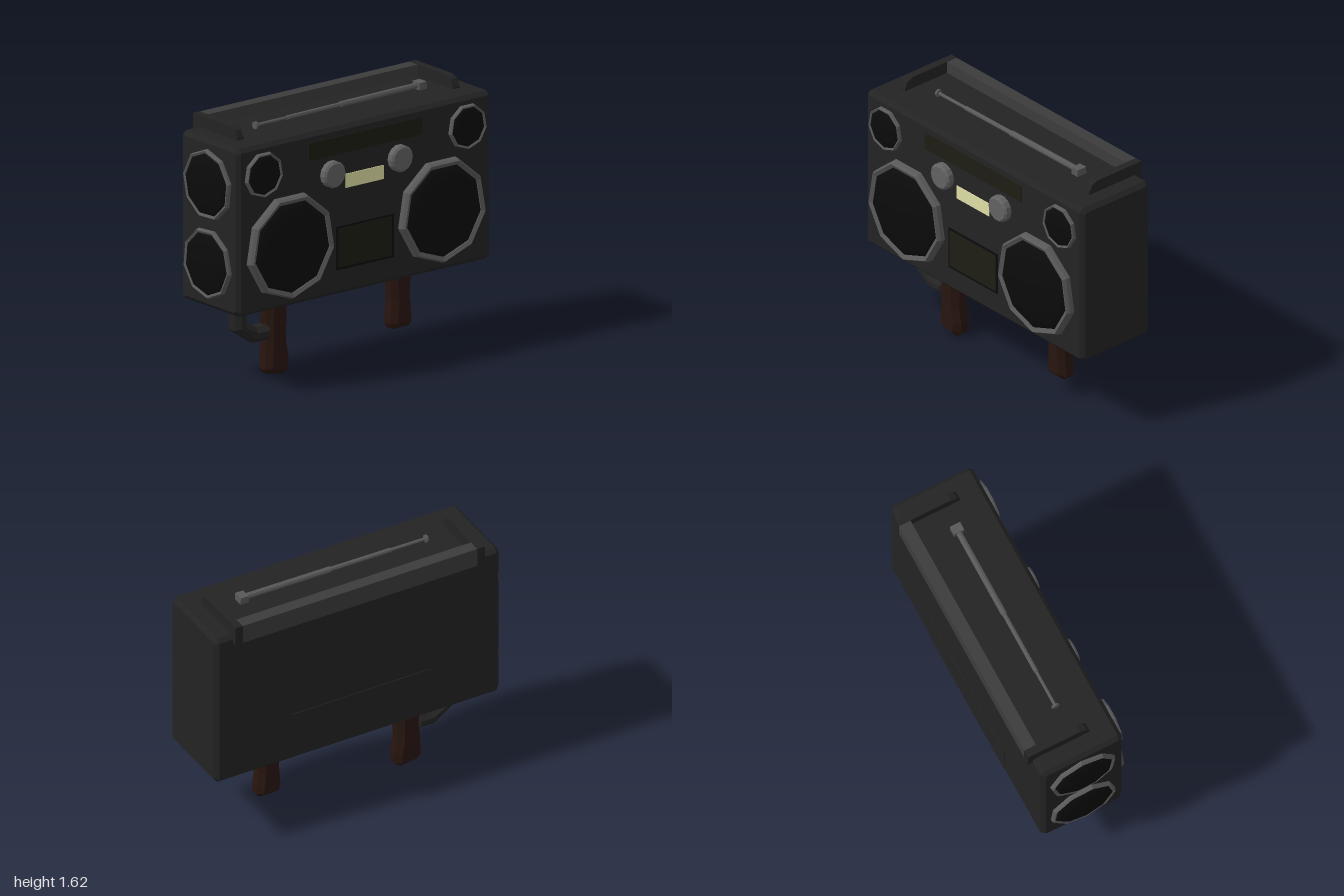
import * as THREE from 'three';

const mat = (color) => new THREE.MeshStandardMaterial({ color, flatShading: true });
const M = {
  body: mat(0x232323), black: mat(0x0b0b0b), rim: mat(0x585858), knob: mat(0x626262),
  bar: mat(0x3c3c3c), trim: mat(0x1d1d14), label: mat(0xdedea6), wood: mat(0x28150f),
};
const dome = new THREE.MeshStandardMaterial({ color: 0x0b0b0b });

const add = (parent, name, geo, material, x = 0, y = 0, z = 0) => {
  const mesh = new THREE.Mesh(geo, material);
  mesh.name = name;
  mesh.position.set(x, y, z);
  parent.add(mesh);
  return mesh;
};

// Extrudes an outline to a total thickness, chamfered inside that outline, centred on z
const slab = (points, thickness, bevel) => {
  const geo = new THREE.ExtrudeGeometry(new THREE.Shape(points.map(([x, y]) => new THREE.Vector2(x, y))), {
    depth: thickness - 2 * bevel, bevelEnabled: bevel > 0, bevelSize: bevel,
    bevelThickness: bevel, bevelOffset: -bevel, bevelSegments: 1,
  });
  return geo.translate(0, 0, bevel - thickness / 2);
};

// The same for an outline given as (z, y), extruded along x
const sideSlab = (points, thickness, bevel) => slab(points, thickness, bevel).rotateY(-Math.PI / 2);

const lathe = (points, sides, phi = 0) =>
  new THREE.LatheGeometry(points.map(([r, h]) => new THREE.Vector2(r, h)), sides, phi);

// Nine-sided speaker facing +y: bevelled rim and domed cover
function speaker(name, r, rimWidth, rimHeight, domeHeight, phi) {
  const g = new THREE.Group();
  g.name = name;
  const inner = r - rimWidth;
  add(g, 'speakerRim', lathe([
    [r, -0.01], [r * 0.985, rimHeight * 0.6], [r - rimWidth * 0.4, rimHeight],
    [inner, rimHeight * 0.75], [inner, 0],
  ], 9, phi), M.rim);
  const base = rimHeight * 0.6;
  const arc = [];
  for (let i = 0; i <= 6; i++) {
    const a = (i / 6) * Math.PI / 2;
    arc.push([inner * Math.cos(a) + 1e-5, base + (domeHeight - base) * Math.sin(a)]);
  }
  add(g, 'speakerCover', lathe(arc, 9, phi), dome);
  return g;
}

export function createModel() {
  const model = new THREE.Group();
  model.name = 'boombox';

  // Chamfered case
  const c = 0.025, x0 = -0.3, x1 = 0.245, y0 = 0.505, y1 = 1.55;
  add(model, 'case', slab([
    [x0 + c, y0], [x1 - c, y0], [x1, y0 + c], [x1, y1 - c],
    [x1 - c, y1], [x0 + c, y1], [x0, y1 - c], [x0, y0 + c],
  ], 1.945, c), M.body, 0, 0, -0.027);

  // Speakers on the long face: z, y, radius, rim width, rim height, dome height
  [
    ['largeSpeaker', 0.555, 0.885, 0.33, 0.042, 0.048, 0.08],
    ['largeSpeaker', -0.605, 0.885, 0.33, 0.042, 0.048, 0.08],
    ['smallSpeaker', 0.755, 1.365, 0.142, 0.018, 0.026, 0.038],
    ['smallSpeaker', -0.805, 1.365, 0.142, 0.018, 0.026, 0.038],
  ].forEach(([name, z, y, r, w, h, d]) => {
    const s = speaker(name, r, w, h, d, Math.PI / 2);
    s.rotation.z = -Math.PI / 2;
    s.position.set(x1, y, z);
    model.add(s);
  });

  // Speakers on the front end
  [[1.275, Math.PI + 0.05], [0.785, 0.07]].forEach(([y, phi]) => {
    const s = speaker('endSpeaker', 0.22, 0.025, 0.028, 0.055, phi);
    s.rotation.x = Math.PI / 2;
    s.position.set(-0.03, y, 0.945);
    model.add(s);
  });

  // Control knobs
  [0.233, -0.283].forEach((z) => {
    const knob = add(model, 'knob', lathe([
      [0.083, -0.01], [0.083, 0.035], [0.07, 0.047], [1e-5, 0.047],
    ], 14), M.knob, x1, 1.27, z);
    knob.rotation.z = -Math.PI / 2;
  });

  // Tuner strip, label, cassette window and rear battery cover
  const panel = (name, x, ya, yb, za, zb, material, t = 0.01) =>
    add(model, name, new THREE.BoxGeometry(t, yb - ya, zb - za), material, x, (ya + yb) / 2, (za + zb) / 2);
  panel('tunerStrip', x1, 1.38, 1.49, -0.46, 0.41, M.trim);
  panel('label', x1, 1.16, 1.247, -0.17, 0.123, M.label);
  panel('cassetteFrame', x1, 0.66, 0.93, -0.245, 0.195, M.black);
  panel('cassetteWindow', x1 + 0.003, 0.675, 0.917, -0.23, 0.18, M.trim);
  panel('batteryCover', x0, 0.53, 0.84, -0.48, 0.465, M.body);

  // Folded carrying handle: two arms and a rear bar
  const handle = new THREE.Group();
  handle.name = 'carryHandle';
  model.add(handle);
  [0.797, -0.857].forEach((z) => add(handle, 'handleArm', slab([
    [-0.33, 1.5], [-0.25, 1.5], [-0.25, 1.54], [0.085, 1.54],
    [0.083, 1.565], [0.062, 1.607], [0.02, 1.625], [-0.33, 1.625],
  ], 0.05, 0), M.body, 0, 0, z));
  add(handle, 'handleBar', new THREE.BoxGeometry(0.078, 0.123, 1.61), M.bar, -0.29, 1.5625, -0.03);

  // Telescopic antenna lying along the top
  const antenna = new THREE.Group();
  antenna.name = 'antenna';
  antenna.position.set(-0.025, 1.58, 0);
  antenna.rotation.x = 0.008;
  model.add(antenna);
  [[-0.65, -0.06, 0.019], [-0.06, 0.35, 0.014], [0.35, 0.59, 0.01], [0.585, 0.6, 0.024]]
    .forEach(([a, b, r]) => add(antenna, 'antennaSection',
      new THREE.CylinderGeometry(r, r, b - a, 8).rotateX(Math.PI / 2), M.rim, 0, 0, (a + b) / 2));
  add(antenna, 'antennaHinge', new THREE.BoxGeometry(0.068, 0.045, 0.055), M.rim, 0, 0, -0.665);

  // Wooden grips underneath
  add(model, 'rearGrip', sideSlab([
    [0.535, 0.53], [0.533, 0.2], [0.54, 0.05], [0.52, 0.02], [0.4, 0.002],
    [0.368, 0.025], [0.36, 0.1], [0.378, 0.2], [0.374, 0.53],
  ], 0.125, 0.035), M.wood, -0.027);
  add(model, 'frontGrip', sideSlab([
    [-0.413, 0.53], [-0.428, 0.3], [-0.418, 0.15], [-0.435, 0.115], [-0.56, 0.115],
    [-0.583, 0.14], [-0.58, 0.2], [-0.567, 0.3], [-0.582, 0.53],
  ], 0.125, 0.035), M.wood, -0.027);

  // Bent guard joining the rear grip to the case
  add(model, 'guard', sideSlab([
    [0.775, 0.53], [0.77, 0.335], [0.635, 0.237], [0.5, 0.237],
    [0.5, 0.328], [0.605, 0.328], [0.685, 0.375], [0.67, 0.53],
  ], 0.12, 0.03), M.body, -0.027);

  return model;
}
